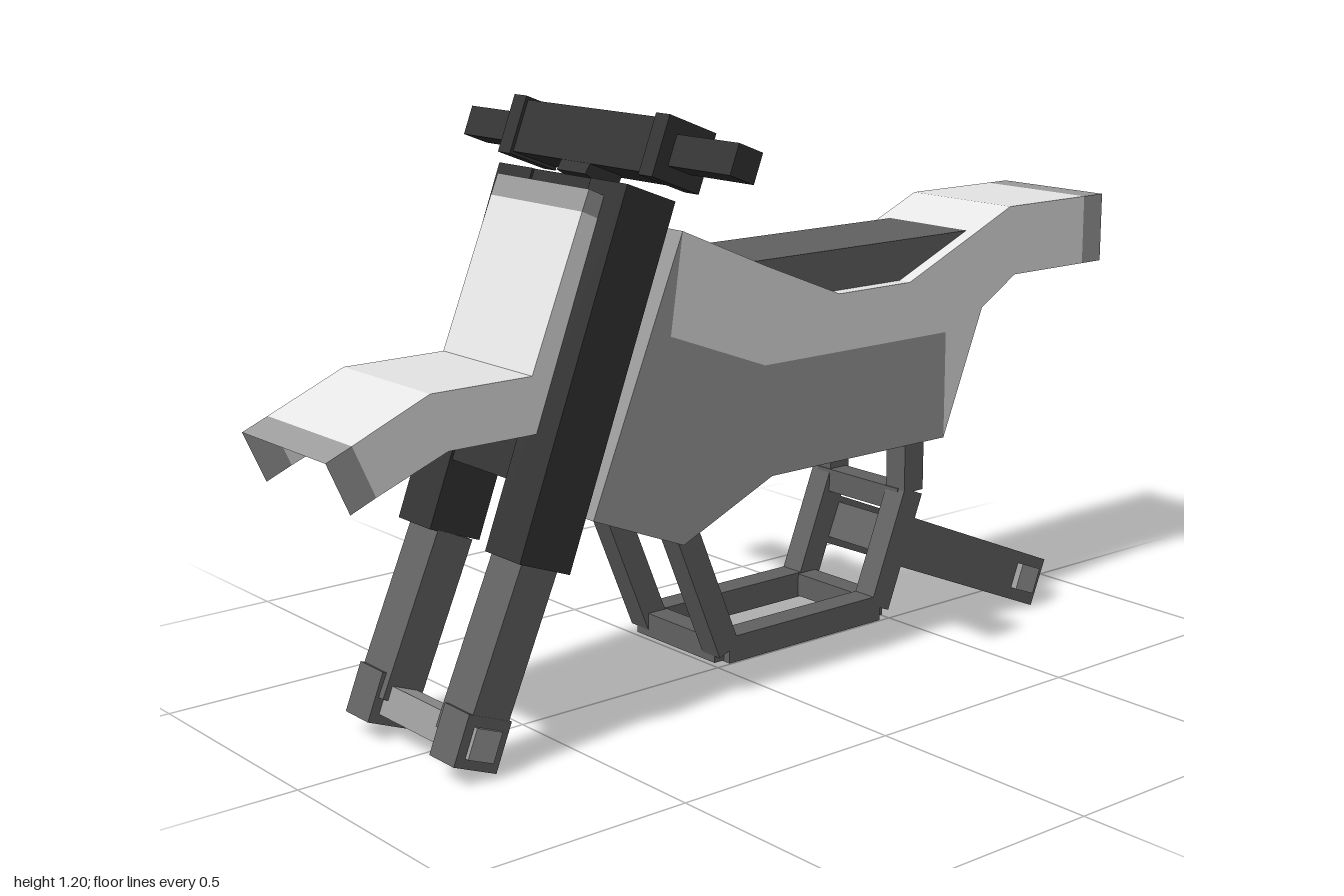
import * as THREE from 'three';

export function createModel() {
  const root = new THREE.Group();
  root.name = 'dirtBikeBody';

  const makeMat = (name, color) => {
    const m = new THREE.MeshStandardMaterial({ color, side: THREE.DoubleSide });
    m.name = name;
    return m;
  };
  const light = makeMat('lightGrey', 0xe6e6e6);
  const mid = makeMat('midGrey', 0x9b9b9b);
  const steel = makeMat('darkGrey', 0x626262);
  const black = makeMat('charcoal', 0x343434);

  const add = (name, geo, mat) => {
    const mesh = new THREE.Mesh(geo, mat);
    mesh.name = name;
    root.add(mesh);
    return mesh;
  };

  // Side profile given as [z, y] points, extruded across x
  const slab = (name, pts, width, mat) => {
    const shape = new THREE.Shape(pts.map(([z, y]) => new THREE.Vector2(z, y)));
    const geo = new THREE.ExtrudeGeometry(shape, { depth: width, bevelEnabled: false });
    geo.rotateY(-Math.PI / 2).translate(width / 2, 0, 0);
    return add(name, geo, mat);
  };

  // Box running between two [z, y] points
  const bar = (name, a, b, width, thick, mat, x = 0) => {
    const dz = b[0] - a[0], dy = b[1] - a[1];
    const mesh = add(name, new THREE.BoxGeometry(width, thick, Math.hypot(dz, dy)), mat);
    mesh.rotation.x = Math.atan2(-dy, dz);
    mesh.position.set(x, (a[1] + b[1]) / 2, (a[0] + b[0]) / 2);
    return mesh;
  };

  // Open channel (top and two walls) through stations [topZ, topY, bottomZ, bottomY]
  const shell = (name, stations, w, mat) => {
    const rings = stations.map(([tz, ty, bz, by]) =>
      [[-w, by, bz], [-w, ty, tz], [w, ty, tz], [w, by, bz]]);
    const pos = [];
    for (let i = 0; i < rings.length - 1; i++) {
      for (let j = 0; j < 3; j++) {
        const a = rings[i][j], b = rings[i][j + 1], c = rings[i + 1][j + 1], d = rings[i + 1][j];
        pos.push(...a, ...d, ...c, ...a, ...c, ...b);
      }
    }
    const geo = new THREE.BufferGeometry();
    geo.setAttribute('position', new THREE.Float32BufferAttribute(pos, 3));
    geo.computeVertexNormals();
    return add(name, geo, mat);
  };

  const W = 0.145;

  // Body: light upper fairing over a grey lower half
  slab('upperBody', [[0.21, 0.97], [0, 0.88], [-0.2, 0.8], [-0.4, 0.8], [-0.62, 0.895],
    [-0.62, 0.72], [-0.51, 0.45], [-0.51, 0.68], [0, 0.68], [0.24, 0.77]], W * 2, light);
  slab('lowerBody', [[0.21, 0.97], [0.24, 0.77], [0, 0.68], [-0.51, 0.68], [-0.51, 0.45],
    [-0.02, 0.45], [0.21, 0.35], [0.43, 0.44]], W * 2, mid);
  slab('seat', [[0, 0.885], [0, 0.86], [-0.2, 0.78], [-0.4, 0.78], [-0.6, 0.86], [-0.6, 0.885]],
    0.23, steel);

  // Rear fender
  shell('rearFender', [[-0.62, 0.895, -0.62, 0.72], [-0.7, 0.93, -0.72, 0.78],
    [-0.94, 0.93, -0.94, 0.78]], W, light);
  shell('rearFenderTip', [[-0.94, 0.93, -0.94, 0.78], [-1, 0.93, -1, 0.78]], W, mid);

  // Front plate and fender
  shell('frontPlateTop', [[0.43, 1.07, 0.385, 1.05], [0.447, 1.03, 0.402, 1.01]], W, mid);
  shell('frontFender', [[0.447, 1.03, 0.402, 1.01], [0.565, 0.74, 0.54, 0.63],
    [0.785, 0.74, 0.75, 0.63], [0.947, 0.672, 0.902, 0.572]], W, light);
  shell('frontFenderTip', [[0.947, 0.672, 0.902, 0.572], [1, 0.65, 0.955, 0.55]], W, mid);

  // Exhaust: eight-sided can under the tail, right of centre
  const r = 0.06, c = 0.035;
  const can = new THREE.Shape([[-c, -r], [c, -r], [r, -c], [r, c], [c, r], [-c, r], [-r, c], [-r, -c]]
    .map(([x, y]) => new THREE.Vector2(x, y)));
  const canGeo = new THREE.ExtrudeGeometry(can, { depth: 0.47, bevelEnabled: false });
  canGeo.translate(0, 0, -0.47);
  const exhaust = add('exhaust', canGeo, mid);
  exhaust.rotation.x = 0.386;
  exhaust.position.set(-0.06, 0.653, -0.542);

  // Fork, slanted along one axis
  const forkTop = [0.33, 1.06], forkLow = [0.585, 0.39], axle = [0.72, 0.08];
  bar('forkBridge', forkTop, [0.535, 0.52], 0.2, 0.11, black);
  bar('steeringHead', [0.2, 0.66], [0.45, 0.76], 0.17, 0.29, mid);
  for (const s of [-1, 1]) {
    bar('forkUpper', forkTop, forkLow, 0.11, 0.12, black, s * 0.147);
    bar('forkLower', forkLow, axle, 0.095, 0.085, steel, s * 0.138);
    bar('axleBlock', [0.701, 0.127], [0.738, 0.034], 0.08, 0.1, steel, s * 0.146);
  }
  bar('frontAxle', [0.709, 0.108], [0.731, 0.052], 0.39, 0.06, mid);

  // Handlebar
  const up = [0.364, -0.931], hub = [0.285, 1.13];
  const onHub = (size) => [-1, 1].map((k) => [hub[0] + k * size / 2 * up[0], hub[1] + k * size / 2 * up[1]]);
  bar('handlebarStem', hub, forkTop, 0.09, 0.08, black);
  bar('handlebarPad', ...onHub(0.105), 0.41, 0.105, black);
  for (const s of [-1, 1]) {
    bar('handlebarCollar', ...onHub(0.118), 0.04, 0.118, black, s * 0.222);
    bar('grip', ...onHub(0.06), 0.18, 0.06, black, s * 0.325);
  }

  // Cradle frame: two bent rails joined by crossbars
  const railPath = [[0.21, 0.4], [0.09, 0.105], [-0.33, 0.105], [-0.425, 0.345], [-0.425, 0.48]];
  for (const s of [-1, 1]) {
    for (let i = 0; i < railPath.length - 1; i++) {
      bar('cradleRail', railPath[i], railPath[i + 1], 0.055, 0.055, steel, s * 0.115);
    }
  }
  for (const [z, y] of [railPath[1], railPath[2], [-0.42, 0.327]]) {
    bar('cradleCrossbar', [z + 0.025, y], [z - 0.025, y], 0.25, 0.05, steel);
  }

  // Swingarm
  for (const s of [-1, 1]) {
    bar('swingarm', [-0.385, 0.245], [-0.83, 0.058], 0.055, 0.108, steel, s * 0.115);
  }
  bar('swingarmBridge', [-0.41, 0.235], [-0.47, 0.21], 0.2, 0.08, steel);
  bar('rearAxle', [-0.752, 0.091], [-0.808, 0.069], 0.315, 0.058, mid);

  return root;
}
